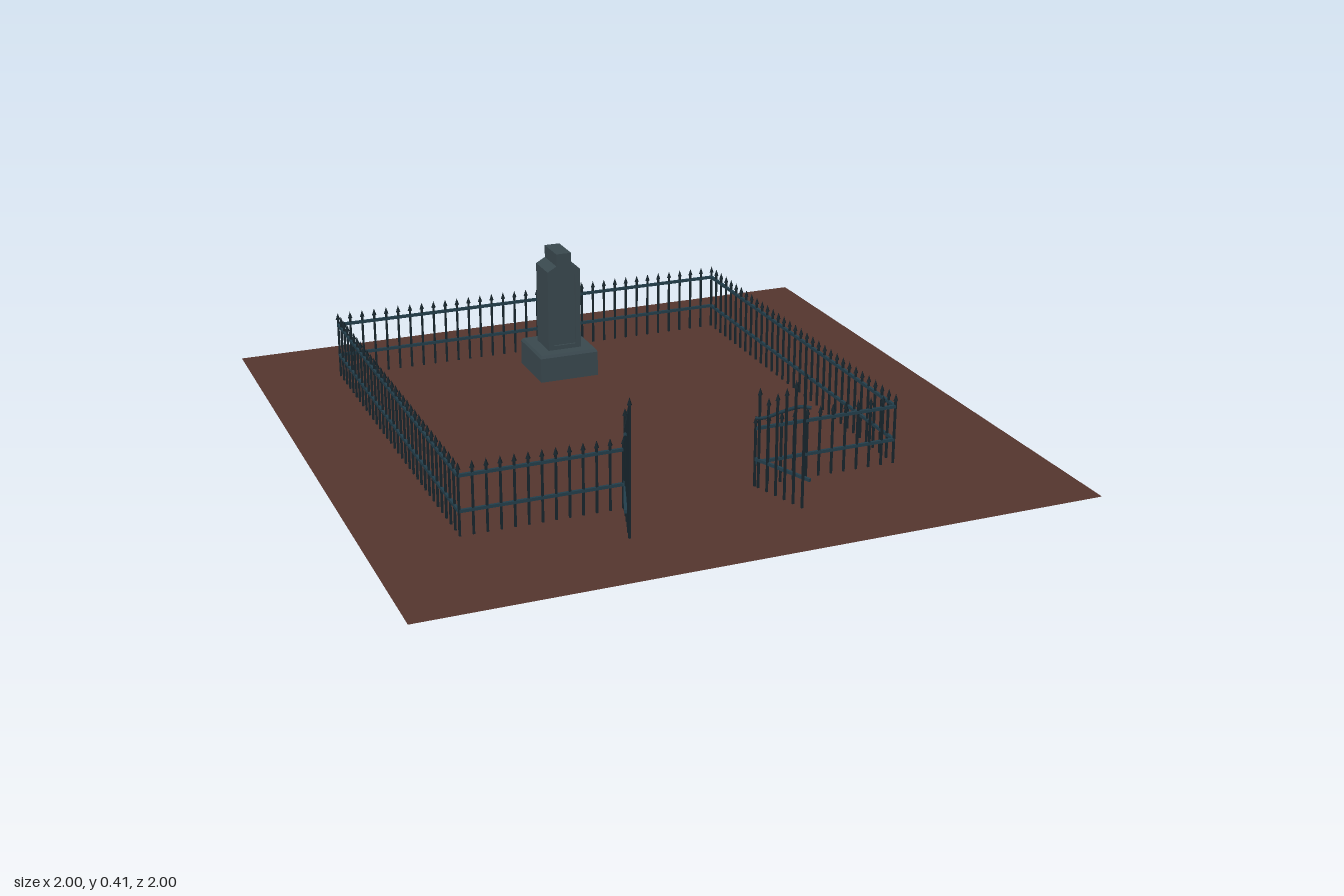
import * as THREE from 'three';

const mat = (name, color, side = THREE.FrontSide) => {
  const m = new THREE.MeshStandardMaterial({ color, side });
  m.name = name;
  return m;
};

export function createModel() {
  const earth = mat('earth', 0x54352e, THREE.DoubleSide);
  const stone = mat('stone', 0x39484e);
  const railIron = mat('railIron', 0x223d4a);
  const postIron = mat('postIron', 0x17252c);
  const model = new THREE.Group();
  model.name = 'fencedGrave';

  const add = (parent, name, geo, material, x = 0, y = 0, z = 0) => {
    const mesh = new THREE.Mesh(geo, material);
    mesh.name = name;
    mesh.position.set(x, y, z);
    parent.add(mesh);
    return mesh;
  };
  const group = (name, parent = model) => {
    const g = new THREE.Group();
    g.name = name;
    parent.add(g);
    return g;
  };

  // Ground
  add(model, 'ground', new THREE.PlaneGeometry(2, 2).rotateX(-Math.PI / 2), earth, 0, 0.002, 0);

  // Gravestone: plinth with bevelled top, shouldered slab, framed front panel
  const grave = group('gravestone');
  grave.position.set(-0.058, 0, -0.513);
  add(grave, 'plinth', new THREE.BoxGeometry(0.194, 0.082, 0.194), stone, 0, 0.041, 0);
  const bevel = new THREE.CylinderGeometry(0.184 / Math.SQRT2, 0.194 / Math.SQRT2, 0.009, 4, 1)
    .toNonIndexed();
  bevel.rotateY(Math.PI / 4).computeVertexNormals();
  add(grave, 'plinthBevel', bevel, stone, 0, 0.0865, 0);

  const outline = () => new THREE.Shape([
    [-0.055, 0.09], [0.055, 0.09], [0.055, 0.355], [0.025, 0.372], [0.025, 0.412],
    [-0.025, 0.412], [-0.025, 0.372], [-0.055, 0.355],
  ].map(([x, y]) => new THREE.Vector2(x, y)));
  const slab = new THREE.ExtrudeGeometry(outline(), { depth: 0.104, bevelEnabled: false });
  add(grave, 'slab', slab, stone, 0, 0, -0.055);
  const frameShape = outline();
  frameShape.holes.push(new THREE.Path([
    [-0.038, 0.105], [-0.038, 0.342], [0.038, 0.342], [0.038, 0.105],
  ].map(([x, y]) => new THREE.Vector2(x, y))));
  const frame = new THREE.ExtrudeGeometry(frameShape, { depth: 0.006, bevelEnabled: false });
  add(grave, 'panelFrame', frame, stone, 0, 0, 0.049);

  // Iron bar with a spear tip
  const barGeo = new THREE.BoxGeometry(0.006, 1, 0.006);
  const tipGeo = new THREE.ConeGeometry(0.0075, 0.022, 4);
  const addPost = (parent, x, z, height) => {
    const post = group('post', parent);
    post.position.set(x, 0, z);
    const h = height - 0.018;
    add(post, 'bar', barGeo, postIron, 0, h / 2, 0).scale.y = h;
    add(post, 'spearTip', tipGeo, postIron, 0, height - 0.011, 0);
  };

  // Straight bar between two points on the plan
  const addRail = (parent, a, b, y) => {
    const dx = b[0] - a[0], dz = b[1] - a[1];
    const geo = new THREE.BoxGeometry(Math.hypot(dx, dz), 0.009, 0.008);
    const rail = add(parent, 'rail', geo, railIron, (a[0] + b[0]) / 2, y, (a[1] + b[1]) / 2);
    rail.rotation.y = Math.atan2(-dz, dx);
  };

  // Fence runs
  const addFence = (name, a, b) => {
    const fence = group(name);
    for (const y of [0.075, 0.178]) addRail(fence, a, b, y);
    const n = Math.round(Math.hypot(b[0] - a[0], b[1] - a[1]) / 0.04);
    for (let i = 0; i <= n; i++) {
      const t = i / n;
      addPost(fence, a[0] + (b[0] - a[0]) * t, a[1] + (b[1] - a[1]) * t, 0.217);
    }
  };
  const L = 0.575, R = -0.735, B = -0.718, F = 0.572;
  addFence('backFence', [R, B], [L, B]);
  addFence('rightFence', [R, B], [R, F]);
  addFence('leftFence', [L, B], [L, F]);
  addFence('frontFenceRight', [R, F], [-0.265, F]);
  addFence('frontFenceLeft', [0.132, F], [L, F]);

  // Open gate leaves, mirrored about the entrance centre
  const heights = [0.305, 0.285, 0.31, 0.335, 0.368, 0.405];
  for (const side of [-1, 1]) {
    const gate = group(side < 0 ? 'rightGate' : 'leftGate');
    const at = (d) => [-0.065 + side * (0.197 + 0.075 * d), 0.575 + 0.19 * d];
    addRail(gate, at(0), at(1), 0.087);
    const curve = new THREE.CatmullRomCurve3(
      [[0, 0.21], [0.15, 0.22], [0.45, 0.255], [0.78, 0.29], [1, 0.3]].map(([d, y]) => {
        const [x, z] = at(d);
        return new THREE.Vector3(x, y, z);
      }));
    add(gate, 'sweptRail', new THREE.TubeGeometry(curve, 16, 0.005, 6), railIron);
    heights.forEach((h, i) => {
      const [x, z] = at(0.06 + 0.176 * i);
      addPost(gate, x - side * 0.012 * i / 5, z, h);
    });
  }
  return model;
}
